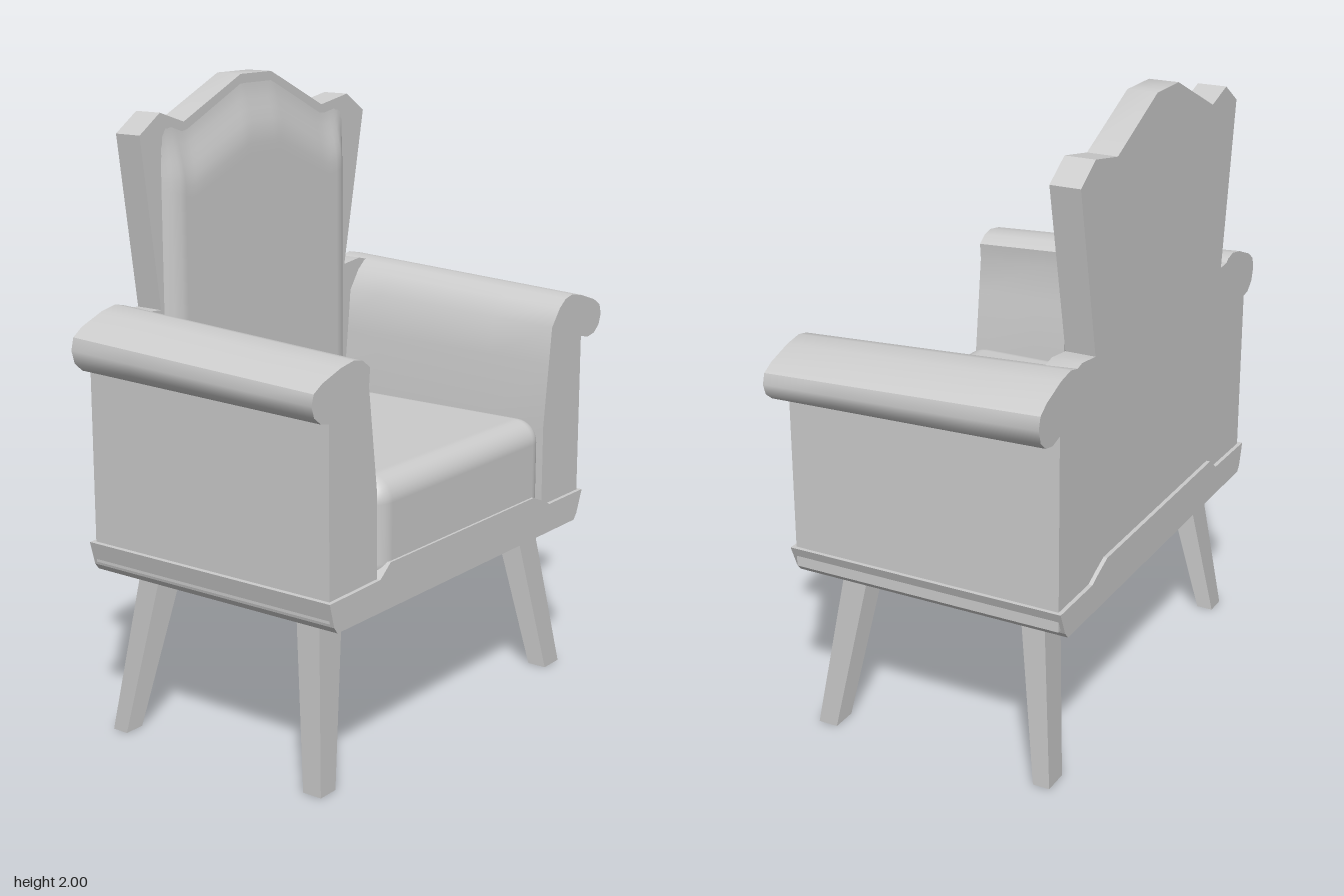
import * as THREE from 'three';
import { RoundedBoxGeometry } from 'three/addons/geometries/RoundedBoxGeometry.js';
import { toCreasedNormals } from 'three/addons/utils/BufferGeometryUtils.js';

const material = new THREE.MeshStandardMaterial({ color: 0xcccccc });
const padMaterial = new THREE.MeshStandardMaterial({ color: 0xcccccc, side: THREE.DoubleSide });

function addMesh(parent, name, geometry, mat = material) {
  const mesh = new THREE.Mesh(geometry, mat);
  mesh.name = name;
  parent.add(mesh);
  return mesh;
}

// Move every vertex of a geometry by a rule
function warp(geometry, rule) {
  const p = geometry.attributes.position;
  const v = new THREE.Vector3();
  for (let i = 0; i < p.count; i++) {
    rule(v.fromBufferAttribute(p, i));
    p.setXYZ(i, v.x, v.y, v.z);
  }
  return geometry;
}

// Extrude an outline in x, y from z0 to z1
function slab(points, z0, z1, steps = 1) {
  const shape = new THREE.Shape(points.map(([x, y]) => new THREE.Vector2(x, y)));
  return new THREE.ExtrudeGeometry(shape, { depth: z1 - z0, steps, bevelEnabled: false }).translate(0, 0, z0);
}

// Height of the scalloped top edge of the back
const crest = [
  [-0.565, 1.85], [-0.475, 1.91], [-0.37, 1.875], [-0.1, 2], [0.05, 2],
  [0.31, 1.875], [0.45, 1.9], [0.54, 1.84],
];
function crestHeight(x) {
  const i = Math.max(1, crest.findIndex(([cx]) => cx >= x));
  const [[x0, y0], [x1, y1]] = [crest[i - 1], crest[i]];
  return y0 + (y1 - y0) * (x - x0) / (x1 - x0);
}

// Scroll arm: the roll overhangs the side wall and rises towards the back
function armGeometry(side, shift) {
  const wall = 0.68 + shift;
  const inner = 0.455 + shift;
  const profile = [
    [inner, 0.55], [wall, 0.55], [wall, 1.14], [0.7, 1.13], [0.74, 1.137], [0.77, 1.16],
    [0.782, 1.195], [0.772, 1.228], [0.735, 1.25], [0.65, 1.278], [0.59, 1.288],
    [0.55, 1.28], [0.515, 1.255], [inner + 0.04, 1.2], [inner + 0.025, 1.08], [inner, 0.88],
  ];
  const g = slab(profile.map(([x, y]) => [x * side, y]), -0.45, 0.45, 4);
  warp(g, v => {
    const rise = THREE.MathUtils.clamp((v.y - 1) / 0.29, 0, 1);
    v.y += 0.05 * rise * (0.45 - v.z) / 0.9;
  });
  return toCreasedNormals(g, 0.65);
}

// Tapered, splayed square leg given by its top and bottom ranges in x and z
function legGeometry(topX, topZ, footX, footZ) {
  return warp(new THREE.BoxGeometry(1, 1, 1), v => {
    const [rx, rz] = v.y > 0 ? [topX, topZ] : [footX, footZ];
    v.set(rx[v.x > 0 ? 1 : 0], v.y > 0 ? 0.54 : 0, rz[v.z > 0 ? 1 : 0]);
  }).toNonIndexed();
}

export function createModel() {
  const chair = new THREE.Group();
  chair.name = 'wingArmchair';

  // Base rail with a raised middle
  addMesh(chair, 'baseRail', slab([
    [-0.685, 0.52], [0.62, 0.52], [0.637, 0.54], [0.668, 0.615], [0.46, 0.615],
    [0.42, 0.635], [0.36, 0.66], [-0.43, 0.66], [-0.48, 0.62], [-0.72, 0.615], [-0.7, 0.54],
  ], -0.463, 0.463));

  // Seat cushion
  addMesh(chair, 'seatCushion', warp(
    new RoundedBoxGeometry(0.92, 0.33, 0.84, 5, 0.075),
    v => v.set(v.x - 0.025, v.y + 0.745, v.z + 0.035),
  ));

  // Arms
  addMesh(chair, 'leftArm', armGeometry(1, -0.025));
  addMesh(chair, 'rightArm', armGeometry(-1, 0.025));

  // Back frame with shoulders that run into the arms
  const backOutline = [
    [-0.64, 0.55], [-0.64, 1.28], [-0.56, 1.32], [-0.49, 1.315], ...crest,
    [0.435, 1.325], [0.52, 1.335], [0.6, 1.315], [0.6, 0.55],
  ];
  addMesh(chair, 'backFrame', toCreasedNormals(slab(backOutline, -0.45, -0.355), 0.5));

  // Padded front of the back, swelling under the crest
  const pad = warp(new THREE.PlaneGeometry(1, 1, 36, 40), v => {
    const u = v.x + 0.5;
    const t = v.y + 0.5;
    const x = -0.478 + u * 0.902;
    const top = crestHeight(x) - 0.005;
    const y = 0.6 + t * (top - 0.6);
    const sideEdge = THREE.MathUtils.smoothstep(Math.min(u, 1 - u), 0, 0.05);
    const topEdge = THREE.MathUtils.smoothstep(top - y, 0, 0.2);
    v.set(x, y, -0.357 + 0.036 * sideEdge * topEdge);
  });
  pad.computeVertexNormals();
  addMesh(chair, 'backPad', pad, padMaterial);

  // Legs
  const sides = [
    ['left', [0.445, 0.55], [0.555, 0.64]],
    ['right', [-0.61, -0.5], [-0.69, -0.62]],
  ];
  for (const [side, topX, footX] of sides) {
    addMesh(chair, side + 'FrontLeg', legGeometry(topX, [0.255, 0.34], footX, [0.34, 0.405]));
    addMesh(chair, side + 'BackLeg', legGeometry(topX, [-0.35, -0.27], footX, [-0.415, -0.36]));
  }

  return chair;
}
